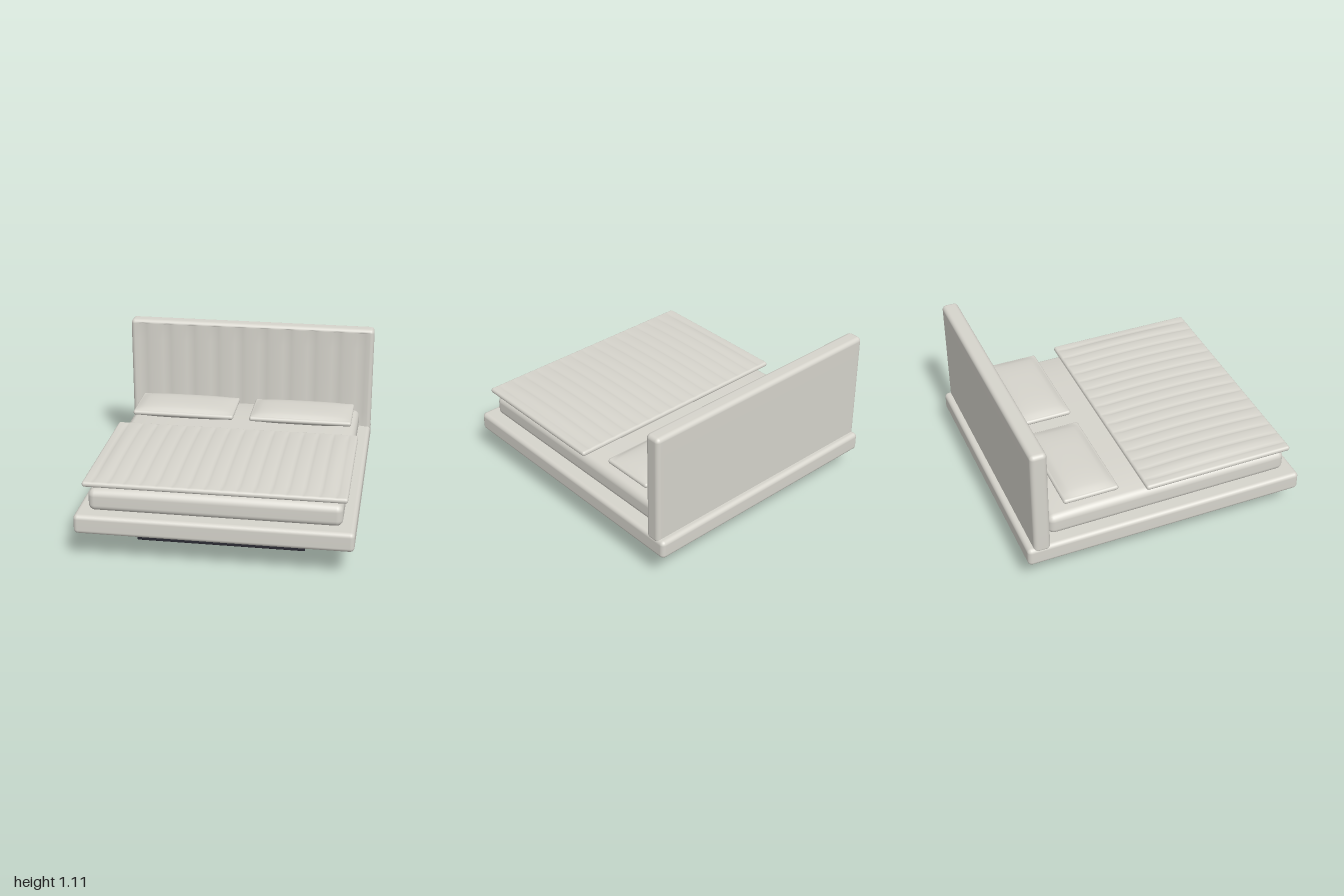
import * as THREE from 'three';
import { mergeVertices } from 'three/addons/utils/BufferGeometryUtils.js';

const fabric = new THREE.MeshStandardMaterial({ color: 0xd6d4cc });
fabric.name = 'pale fabric';
const dark = new THREE.MeshStandardMaterial({ color: 0x2b2b33 });
dark.name = 'dark plinth';

const CORNER = 4; // segments across each rounded edge

// Grid coordinate t (-0.5..0.5) to a position: fine steps in the rounded edge, even steps between
function spread(t, size, r, n) {
  const i = Math.round((t + 0.5) * (n + 2 * CORNER));
  const half = size / 2;
  const edge = (k) => r * (1 - Math.tan((1 - k / CORNER) * Math.PI / 4));
  if (i < CORNER) return -half + edge(i);
  if (i > n + CORNER) return half - edge(n + 2 * CORNER - i);
  return -half + r + (i - CORNER) / n * (size - 2 * r);
}

// Smooth box with rounded edges, reshaped by an optional rule on each vertex
function softBox([w, h, d], r, [nx, ny, nz], reshape) {
  const g = new THREE.BoxGeometry(1, 1, 1, nx + 2 * CORNER, ny + 2 * CORNER, nz + 2 * CORNER);
  const inner = new THREE.Vector3(w / 2 - r, h / 2 - r, d / 2 - r);
  const low = inner.clone().negate();
  const p = new THREE.Vector3(), core = new THREE.Vector3();
  const pos = g.attributes.position;
  for (let i = 0; i < pos.count; i++) {
    p.fromBufferAttribute(pos, i);
    p.set(spread(p.x, w, r, nx), spread(p.y, h, r, ny), spread(p.z, d, r, nz));
    core.copy(p).clamp(low, inner);
    p.sub(core).setLength(r).add(core);
    if (reshape) reshape(p);
    pos.setXYZ(i, p.x, p.y, p.z);
  }
  g.deleteAttribute('uv');
  g.deleteAttribute('normal');
  const merged = mergeVertices(g, 1e-5);
  merged.computeVertexNormals();
  return merged;
}

// Stitched channel: 0 on the crown of a rib, 1 in the seam
const channel = (x, period) => 1 - Math.sqrt(Math.abs(Math.cos(Math.PI * x / period)));

export function createModel() {
  const bed = new THREE.Group();
  bed.name = 'bed';

  function add(name, geometry, material, x, y, z) {
    const mesh = new THREE.Mesh(geometry, material);
    mesh.name = name;
    mesh.position.set(x, y, z);
    bed.add(mesh);
    return mesh;
  }

  // Recessed plinth and padded frame
  add('plinth', softBox([1.16, 0.16, 1.28], 0.005, [1, 1, 1]), dark, 0, 0.08, 0);
  add('frame', softBox([1.86, 0.135, 2], 0.03, [1, 1, 1]), fabric, 0, 0.2675, 0);

  // Headboard with vertical channels on its front
  const boardPeriod = 6 * 0.9 / 29;
  add('headboard', softBox([1.86, 0.81, 0.115], 0.03, [58, 6, 1], (p) => {
    if (p.z > 0.057 && Math.abs(p.x) < 0.89) p.z -= 0.012 * channel(p.x, boardPeriod);
  }), fabric, 0, 0.705, -0.8975);

  // Mattress with a crowned top
  add('mattress', softBox([1.69, 0.15, 1.74], 0.045, [24, 1, 24], (p) => {
    const u = Math.abs(p.x / 0.845), v = Math.abs(p.z / 0.87);
    if (p.y > 0) p.y += 0.037 * (1 - u ** 5) * (1 - v ** 5) * Math.min(1, p.y / 0.07);
  }), fabric, 0, 0.41, 0.05);

  // Quilt with ribs running head to foot, slightly crowned along its length
  const quiltPeriod = (0.875 - 0.0175) / 8;
  add('quilt', softBox([1.75, 0.037, 1.075], 0.0175, [128, 1, 16], (p) => {
    if (p.y <= 0.01) return;
    const v = Math.abs(p.z / 0.5375);
    const fade = Math.min(1, (1 - v) * 10);
    p.y += 0.016 * (1 - v * v) * Math.min(1, (0.875 - Math.abs(p.x)) * 8);
    if (Math.abs(p.x) < 0.85) p.y -= 0.008 * fade * channel(p.x, quiltPeriod);
  }), fabric, 0, 0.5355, 0.4025);

  // Plump pillows with a thin rim
  const pillow = softBox([0.75, 0.036, 0.39], 0.018, [24, 1, 16], (p) => {
    const u = Math.min(1, Math.abs(p.x) / 0.35), v = Math.min(1, Math.abs(p.z) / 0.175);
    const puff = Math.sqrt((1 - u ** 3) * (1 - v ** 2.5));
    p.y += 0.033 * puff * p.y / 0.018;
  });
  for (const side of [-1, 1]) {
    add(side > 0 ? 'leftPillow' : 'rightPillow', pillow, fabric, side * 0.435, 0.555, -0.505);
  }
  return bed;
}
